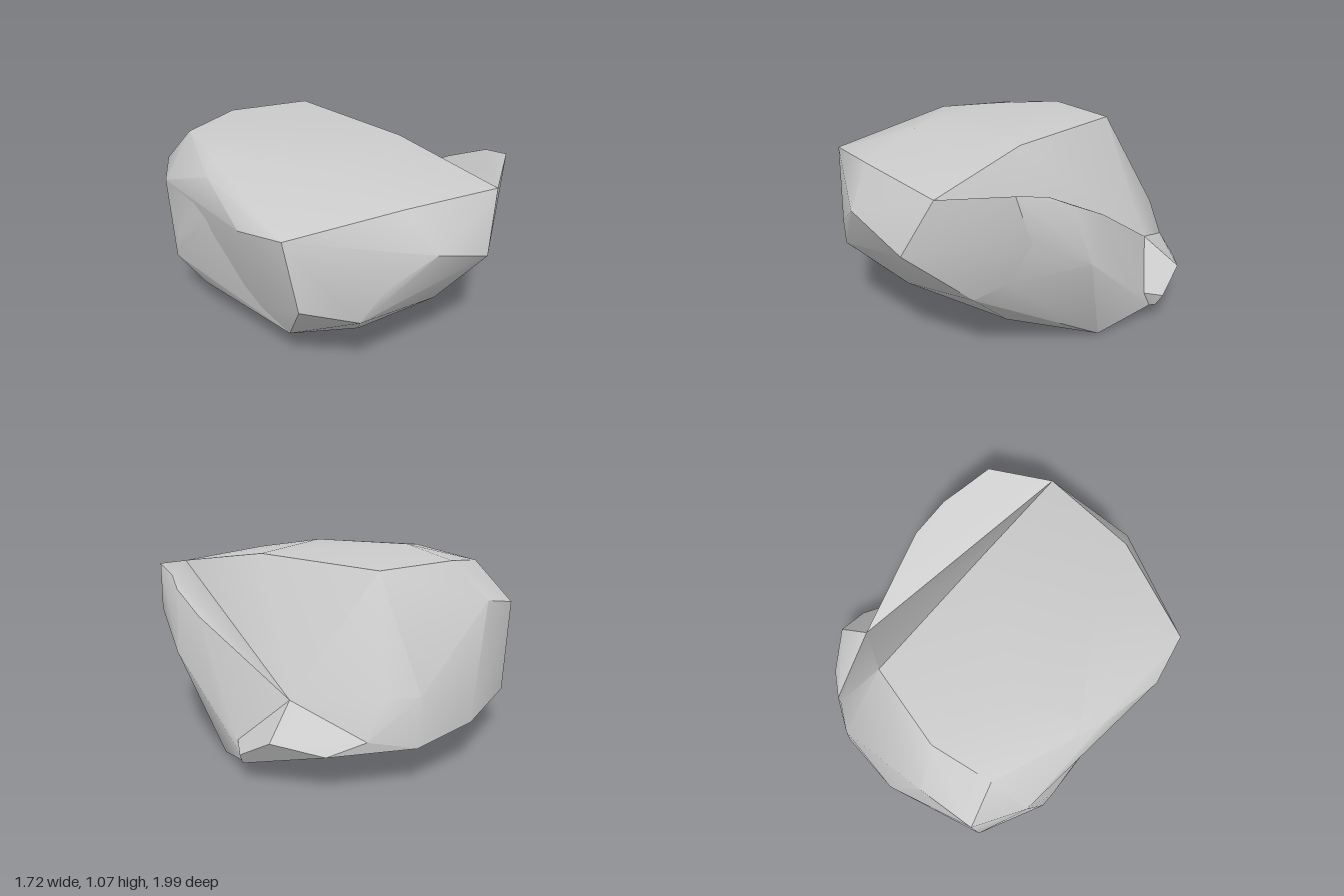
import * as THREE from 'three';
import { ConvexGeometry } from 'three/addons/geometries/ConvexGeometry.js';
import { toCreasedNormals } from 'three/addons/utils/BufferGeometryUtils.js';

const stone = new THREE.MeshStandardMaterial({ color: 0xcccccc });

// A chiselled convex chunk from its corner points, soft over shallow edges
function chunk(name, corners) {
  const hull = new ConvexGeometry(corners.map((c) => new THREE.Vector3(...c)));
  const mesh = new THREE.Mesh(toCreasedNormals(hull, 0.6), stone);
  mesh.name = name;
  return mesh;
}

export function createModel() {
  const rock = new THREE.Group();
  rock.name = 'rock';

  // Corners shared where the chunks meet
  const brow = [0.39, 0.93, 0.86];
  const valley = [[0.54, 0.62, 0.2], [0.63, 0.42, -0.48]];
  const frontCorners = [[0.25, 0.63, 0.965], [0.48, 0.39, 0.71]];
  const keel = [[0.42, 0.145, 0.43], [0.7, 0.0, 0.0], [0.8, 0.09, -0.33], [0.1, 0.05, -0.38]];
  const backFoot = [[0.25, 0.22, -0.985], [0.48, 0.28, -0.87]];
  const leftSeam = [
    [-0.81, 0.98, 0.0], [-0.83, 0.76, -0.56], [-0.7, 0.78, -0.83],
    [-0.71, 0.25, -0.8], [-0.66, 0.16, 0.05], [-0.62, 0.2, 0.45],
  ];

  rock.add(chunk('mainBody', [
    brow, ...valley, ...frontCorners, ...keel, ...backFoot, ...leftSeam,
    // plateau
    [-0.77, 0.9, 0.67], [-0.2, 0.97, 0.84], [-0.35, 1.045, 0.42], [0.28, 1.035, 0.2],
    [-0.73, 1.03, -0.09], [-0.44, 1.073, -0.26],
    [-0.63, 1.0, -0.62], [-0.3, 1.04, -0.71], [0.18, 1.03, -0.64],
    // front face
    [-0.12, 0.77, 0.995], [-0.36, 0.62, 0.91], [-0.46, 0.44, 0.85], [-0.71, 0.51, 0.7],
    [-0.85, 0.86, 0.4],
    // back
    [-0.39, 0.84, -0.89], [-0.15, 0.25, -0.995], [0.22, 0.47, -0.97], [0.38, 0.47, -0.88],
    // underside
    [0.06, 0.36, 0.8], [-0.33, 0.24, 0.66], [-0.1, 0.23, 0.57],
  ]));

  rock.add(chunk('sideRidge', [
    brow, ...valley, ...frontCorners, ...keel,
    // crest falling towards the back
    [0.69, 0.97, 0.63], [0.72, 0.93, 0.45], [0.76, 0.87, 0.33], [0.77, 0.76, 0.1],
    // outer flank
    [0.73, 0.72, 0.56], [0.62, 0.5, 0.61], [0.83, 0.55, 0.24], [0.81, 0.29, -0.12],
    [0.8, 0.19, -0.27],
  ]));

  rock.add(chunk('footLump', [
    valley[1], ...keel.slice(2), ...backFoot,
    [0.82, 0.27, -0.56], [0.86, 0.16, -0.37], [0.8, 0.19, -0.27], [0.83, 0.1, -0.35],
    [0.65, 0.22, -0.77],
  ]));

  rock.add(chunk('backLeftBulge', [
    ...leftSeam,
    [-0.86, 0.48, -0.37], [-0.86, 0.33, -0.43], [-0.78, 0.23, -0.4], [-0.77, 0.2, -0.25],
    [-0.82, 0.72, -0.05],
  ]));

  return rock;
}
